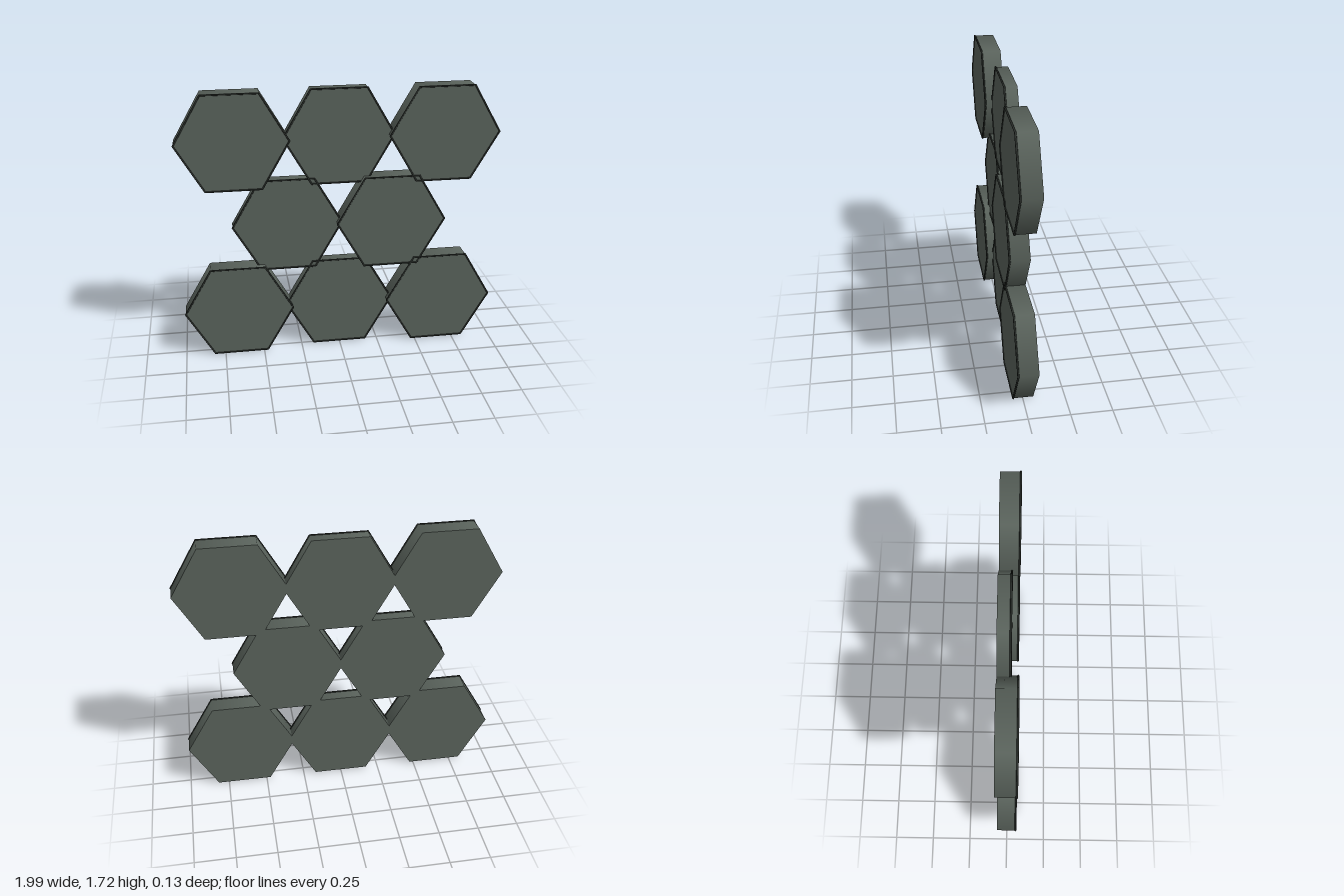
import * as THREE from 'three';

const RADIUS = 0.341; // tile corner radius
const RIM = 0.006; // thickness of the edge bead
const BACK = -0.063; // shared back plane
const HIGH = 0.057, LOW = 0.013; // front planes of thick and thin tiles

const tileMaterial = new THREE.MeshStandardMaterial({ color: 0x5a635c });
const rimMaterial = new THREE.MeshStandardMaterial({ color: 0x2b302c });

// One hexagonal tile: a six-sided prism with a thin bead round its front edge
function makeTile(front) {
  const tile = new THREE.Group();
  const depth = front - BACK;

  const bodyGeometry = new THREE.CylinderGeometry(RADIUS, RADIUS, depth, 6);
  bodyGeometry.rotateY(Math.PI / 6).rotateX(Math.PI / 2);
  const body = new THREE.Mesh(bodyGeometry, tileMaterial);
  body.name = 'tileBody';
  body.position.z = BACK + depth / 2;

  const rim = new THREE.Mesh(new THREE.TorusGeometry(RADIUS, RIM, 8, 6), rimMaterial);
  rim.name = 'tileRim';
  rim.position.z = front;

  tile.add(body, rim);
  return tile;
}

export function createModel() {
  const model = new THREE.Group();
  model.name = 'hexagonWallPanel';

  // Staggered rows, bottom to top: [height, [x, front plane], ...]
  const outerRow = [[-0.646, HIGH], [0, LOW], [0.646, HIGH]];
  const rows = [
    [0.311, outerRow],
    [0.868, [[-0.324, LOW], [0.324, HIGH]]],
    [1.425, outerRow],
  ];
  rows.forEach(([y, tiles], row) => {
    tiles.forEach(([x, front], column) => {
      const tile = makeTile(front);
      tile.name = `hexTileRow${row + 1}Column${column + 1}`;
      tile.position.set(x, y, 0);
      model.add(tile);
    });
  });
  return model;
}
